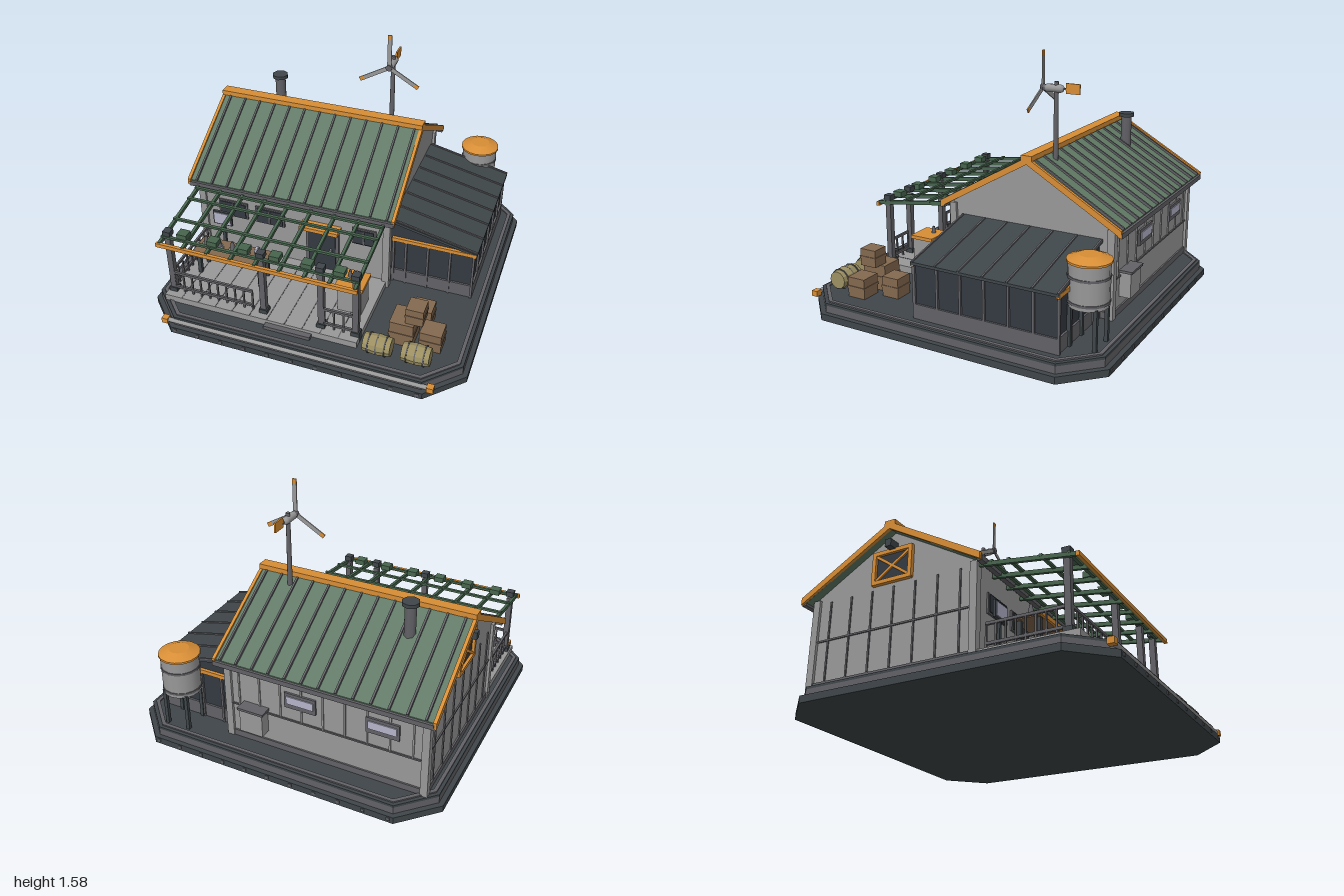
import * as THREE from 'three';

const mat = (name, color, side = THREE.FrontSide) => {
  const m = new THREE.MeshStandardMaterial({ color, side });
  m.name = name;
  return m;
};

export function createModel() {
  const charcoal = mat('charcoal', 0x3f4649), night = mat('darkPanel', 0x343a42);
  const wall = mat('wallGrey', 0x989898), steel = mat('steelGrey', 0x626267);
  const green = mat('roofGreen', 0x617a66), moss = mat('pergolaGreen', 0x47654e);
  const orange = mat('orange', 0xd88e36), brown = mat('crateBrown', 0x84694f);
  const tan = mat('barrelTan', 0x9c9062), glass = mat('paleGlass', 0xb4b4ca);
  const root = new THREE.Group();

  const add = (name, geo, m, x = 0, y = 0, z = 0) => {
    const mesh = new THREE.Mesh(geo, m);
    mesh.name = name;
    mesh.position.set(x, y, z);
    root.add(mesh);
    return mesh;
  };
  // Box given by its extents
  const box = (name, m, x0, x1, y0, y1, z0, z1) =>
    add(name, new THREE.BoxGeometry(x1 - x0, y1 - y0, z1 - z0), m, (x0 + x1) / 2, (y0 + y1) / 2, (z0 + z1) / 2);
  const cyl = (name, m, x, y0, y1, z, r0, r1 = r0, n = 12) =>
    add(name, new THREE.CylinderGeometry(r1, r0, y1 - y0, n), m, x, (y0 + y1) / 2, z);
  // Rectangular bar between two points
  const bar = (name, m, a, b, w, h) => {
    const p = new THREE.Vector3(...a), q = new THREE.Vector3(...b);
    const mesh = add(name, new THREE.BoxGeometry(w, h, p.distanceTo(q)), m);
    mesh.position.copy(p).add(q).multiplyScalar(0.5);
    mesh.lookAt(q);
    return mesh;
  };
  const shapeOf = pts => new THREE.Shape(pts.map(p => new THREE.Vector2(...p)));
  const extrude = (shape, depth) => new THREE.ExtrudeGeometry(shape, { depth, bevelEnabled: false });
  // Outline in (z, y), swept along x
  const prismX = (name, m, pts, x0, x1) => add(name, extrude(shapeOf(pts), x1 - x0).rotateY(-Math.PI / 2), m, x1);
  // Outline in (x, y), swept along z
  const prismZ = (name, m, pts, z0, z1) => add(name, extrude(shapeOf(pts), z1 - z0), m, 0, 0, z0);

  // Chamfered platform in tiers with a raised rim
  const octPts = s => {
    const a = 1 - s, b = 0.985 - s, c = 0.21 - s * 0.55;
    return [[a, b - c], [a - c, b], [c - a, b], [-a, b - c], [-a, c - b], [c - a, -b], [a - c, -b], [a, c - b]];
  };
  const slab = (name, m, s, y0, y1, hole) => {
    const sh = shapeOf(octPts(s));
    if (hole) sh.holes.push(new THREE.Path(octPts(hole).map(p => new THREE.Vector2(...p))));
    add(name, extrude(sh, y1 - y0).rotateX(-Math.PI / 2), m, 0, y0);
  };
  slab('platformBase', charcoal, 0, 0, 0.042);
  slab('platformTier', steel, 0.03, 0.042, 0.085);
  slab('platformTop', charcoal, 0.03, 0.085, 0.1);
  slab('platformRim', steel, 0.05, 0.1, 0.108, 0.072);
  for (let i = 0; i < 11; i++) {
    const x = -0.76 + i * 0.152;
    for (const s of [-1, 1]) box('baseBolt', steel, x - 0.01, x + 0.01, 0.016, 0.034, s * 0.986 - 0.004, s * 0.986 + 0.004);
  }
  add('frontPipe', new THREE.CylinderGeometry(0.014, 0.014, 1.64, 12).rotateZ(Math.PI / 2), wall, 0, 0.073, 0.957);
  for (const x of [-0.83, 0.83]) box('pipeEnd', orange, x - 0.02, x + 0.02, 0.055, 0.09, 0.938, 0.978);

  // House body with gables
  prismX('houseWalls', wall, [[0.25, 0.1], [0.25, 0.65], [-0.28, 0.955], [-0.8, 0.65], [-0.8, 0.1]], -0.9, 0.35);
  box('wallPlinth', steel, -0.91, 0.36, 0.1, 0.14, -0.81, 0.26);
  for (const x of [-0.895, 0.345]) for (const z of [-0.795, 0.245])
    box('cornerPost', wall, x - 0.022, x + 0.022, 0.1, 0.64, z - 0.022, z + 0.022);
  box('backRail', steel, -0.88, 0.33, 0.325, 0.335, -0.808, -0.8);
  for (let i = 0; i < 9; i++) {
    const x = -0.82 + i * 0.137;
    box('backBatten', wall, x - 0.005, x + 0.005, 0.335, 0.63, -0.807, -0.8);
  }
  box('sideRail', steel, -0.908, -0.9, 0.38, 0.39, -0.78, 0.23);
  for (let i = 0; i < 7; i++) {
    const z = -0.7 + i * 0.143;
    box('sideBatten', steel, -0.907, -0.9, 0.14, 0.62, z - 0.005, z + 0.005);
  }

  // Roof with standing seams, orange trim and gutters
  const gable = (e, top, t) => [[e, 0.648 + top], [-0.28, 0.988 + top], [-0.56 - e, 0.648 + top],
    [-0.56 - e, 0.648 + top - t], [-0.28, 0.988 + top - t], [e, 0.648 + top - t]].reverse();
  prismX('roof', green, gable(0.3, 0, 0.03), -0.95, 0.39);
  for (const x of [-0.965, 0.385]) prismX('roofTrim', orange, gable(0.31, 0.008, 0.042), x, x + 0.02);
  for (let i = 0; i < 13; i++) {
    const x = -0.905 + i * 0.105;
    for (const e of [0.305, -0.865]) bar('roofSeam', steel, [x, 0.654, e], [x, 0.99, -0.28], 0.012, 0.016);
  }
  box('ridgeCap', orange, -0.965, 0.405, 0.975, 1.006, -0.315, -0.245);
  for (const z of [0.3, -0.86]) box('gutter', steel, -0.95, 0.4, 0.612, 0.642, z - 0.015, z + 0.015);

  // Gable window with orange cross frame
  box('gableGlass', night, -0.908, -0.9, 0.66, 0.83, -0.4, -0.16);
  for (const z of [-0.4, -0.16]) box('gableFrame', orange, -0.925, -0.9, 0.65, 0.84, z - 0.012, z + 0.012);
  for (const y of [0.655, 0.835]) box('gableFrame', orange, -0.925, -0.9, y - 0.012, y + 0.012, -0.41, -0.15);
  bar('gableCross', orange, [-0.913, 0.66, -0.4], [-0.913, 0.83, -0.16], 0.012, 0.016);
  bar('gableCross', orange, [-0.913, 0.83, -0.4], [-0.913, 0.66, -0.16], 0.012, 0.016);
  box('gableLamp', charcoal, -0.97, -0.9, 0.84, 0.885, -0.3, -0.26);

  // Back windows and utility box
  for (const x of [-0.64, -0.13]) {
    box('backWindowFrame', steel, x - 0.1, x + 0.1, 0.42, 0.52, -0.812, -0.8);
    box('backWindowGlass', glass, x - 0.085, x + 0.085, 0.45, 0.5, -0.818, -0.812);
  }
  box('utilityBox', wall, 0.09, 0.24, 0.2, 0.36, -0.87, -0.8);
  box('utilityLid', steel, 0.08, 0.25, 0.35, 0.365, -0.88, -0.8);

  // Front door, windows and wall screen
  box('doorFrame', steel, -0.185, 0.035, 0.14, 0.47, 0.25, 0.262);
  box('door', night, -0.165, 0.015, 0.14, 0.45, 0.262, 0.27);
  box('doorLight', glass, -0.14, -0.01, 0.42, 0.435, 0.27, 0.275);
  box('doorHandle', wall, -0.02, -0.008, 0.27, 0.31, 0.27, 0.285);
  box('doorCanopy', orange, -0.205, 0.05, 0.46, 0.485, 0.25, 0.33);
  for (const x of [-0.685, -0.43, 0.2]) {
    const w = x > 0 ? 0.065 : 0.088;
    box('windowFrame', steel, x - w - 0.012, x + w + 0.012, 0.39, 0.51, 0.25, 0.26);
    box('windowGlass', night, x - w, x + w, 0.4, 0.5, 0.26, 0.267);
    box('windowMullion', steel, x - 0.005, x + 0.005, 0.4, 0.5, 0.267, 0.273);
  }
  box('screenCase', charcoal, -0.805, -0.675, 0.35, 0.45, 0.3, 0.315);
  box('screenFace', glass, -0.795, -0.685, 0.36, 0.44, 0.315, 0.32);
  box('screenStand', charcoal, -0.75, -0.73, 0.14, 0.36, 0.29, 0.31);

  // Veranda deck and step
  box('deck', wall, -0.9, 0.35, 0.1, 0.142, 0.25, 0.83);
  for (let i = 1; i < 11; i++) {
    const x = -0.9 + i * 0.1136;
    box('deckGap', steel, x - 0.003, x + 0.003, 0.142, 0.144, 0.26, 0.825);
  }
  box('step', steel, -0.225, 0.07, 0.1, 0.122, 0.82, 0.865);

  // Pergola: posts, rafters, battens, front beam and lamps
  const slopeY = z => 0.62 - (z - 0.27) * 0.14;
  for (const x of [-0.865, -0.26, 0.11, 0.325]) {
    box('pergolaPost', steel, x - 0.018, x + 0.018, 0.1, 0.55, 0.742, 0.778);
    box('postFoot', charcoal, x - 0.026, x + 0.026, 0.1, 0.17, 0.734, 0.786);
    box('postCap', charcoal, x - 0.024, x + 0.024, 0.565, 0.6, 0.736, 0.784);
  }
  for (let i = 0; i < 9; i++) {
    const x = -0.89 + i * 0.1535;
    bar('rafter', moss, [x, slopeY(0.26), 0.26], [x, slopeY(0.83), 0.83], 0.018, 0.024);
  }
  for (const z of [0.34, 0.44, 0.625, 0.78])
    box('pergolaBatten', moss, -0.9, 0.35, slopeY(z) + 0.005, slopeY(z) + 0.02, z - 0.009, z + 0.009);
  box('frontBeam', orange, -0.91, 0.355, 0.522, 0.548, 0.822, 0.842);
  for (let i = 0; i < 6; i++) {
    const x = -0.765 + i * 0.198;
    box('pergolaLamp', moss, x - 0.032, x + 0.032, 0.565, 0.6, 0.72, 0.78);
  }

  // Railings
  const railing = (a, b) => {
    for (const y of [0.175, 0.285]) bar('rail', steel, [a[0], y, a[1]], [b[0], y, b[1]], 0.014, 0.016);
    const n = Math.round(Math.hypot(b[0] - a[0], b[1] - a[1]) / 0.055);
    for (let i = 0; i <= n; i++) {
      const x = a[0] + (b[0] - a[0]) * i / n, z = a[1] + (b[1] - a[1]) * i / n;
      box('baluster', steel, x - 0.005, x + 0.005, 0.142, 0.29, z - 0.005, z + 0.005);
    }
  };
  railing([-0.85, 0.77], [-0.33, 0.77]);
  railing([0.13, 0.77], [0.31, 0.77]);
  railing([-0.87, 0.3], [-0.87, 0.75]);

  // Bar counter with taps
  box('counterTop', brown, -0.82, -0.345, 0.295, 0.32, 0.425, 0.58);
  box('counterEdge', orange, -0.83, -0.335, 0.29, 0.315, 0.58, 0.595);
  for (const x of [-0.79, -0.375]) for (const z of [0.45, 0.56])
    box('counterLeg', charcoal, x - 0.012, x + 0.012, 0.142, 0.295, z - 0.012, z + 0.012);
  for (let i = 0; i < 5; i++) {
    const x = -0.765 + i * 0.091;
    cyl('tapBase', wall, x, 0.32, 0.335, 0.5, 0.027, 0.027);
    cyl('tapBody', steel, x, 0.335, 0.39, 0.5, 0.018, 0.008);
  }
  box('counterLight', glass, -0.44, -0.385, 0.32, 0.36, 0.455, 0.49);

  // Service cabinet
  box('cabinet', wall, 0.15, 0.3, 0.142, 0.325, 0.46, 0.6);
  box('cabinetTop', orange, 0.138, 0.312, 0.325, 0.347, 0.45, 0.61);
  cyl('cabinetBottle', steel, 0.2, 0.347, 0.39, 0.51, 0.014, 0.008);

  // Lean-to with glazed panels
  prismZ('leanToBody', night, [[0.35, 0.1], [0.87, 0.1], [0.87, 0.435], [0.35, 0.555]], -0.72, 0.17);
  box('leanToPlinth', steel, 0.35, 0.882, 0.1, 0.19, -0.732, 0.182);
  prismZ('leanToRoof', charcoal, [[0.35, 0.555], [0.895, 0.43], [0.895, 0.447], [0.35, 0.572]], -0.74, 0.19);
  for (let i = 0; i < 7; i++) {
    const z = -0.735 + i * 0.152;
    bar('leanToRib', steel, [0.36, 0.572, z], [0.895, 0.449, z], 0.01, 0.012);
    box('leanToStud', steel, 0.868, 0.882, 0.1, 0.44, z - 0.007, z + 0.007);
  }
  for (const z of [-0.732, 0.182]) {
    box('leanToBand', orange, 0.36, 0.89, 0.42, 0.445, z - 0.01, z + 0.01);
    for (const x of [0.37, 0.45, 0.59, 0.73, 0.875])
      box('endStud', steel, x - 0.007, x + 0.007, 0.1, 0.43, z - 0.007, z + 0.007);
  }

  // Water tank on legs
  const tx = 0.68, tz = -0.81;
  cyl('tank', wall, tx, 0.33, 0.58, tz, 0.115, 0.115, 16);
  for (const y of [0.35, 0.49]) cyl('tankBand', steel, tx, y, y + 0.014, tz, 0.119, 0.119, 16);
  cyl('tankRim', orange, tx, 0.575, 0.587, tz, 0.125, 0.125, 16);
  cyl('tankLid', orange, tx, 0.587, 0.613, tz, 0.122, 0.06, 16);
  for (const x of [-0.075, 0.075]) for (const z of [-0.075, 0.075])
    box('tankLeg', charcoal, tx + x - 0.011, tx + x + 0.011, 0.1, 0.34, tz + z - 0.011, tz + z + 0.011);

  // Wind turbine
  const wx = 0.175, wy = 1.36;
  cyl('mast', steel, wx, 0.9, 1.4, -0.35, 0.016, 0.013, 10);
  add('nacelle', new THREE.CapsuleGeometry(0.024, 0.08, 4, 10).rotateX(Math.PI / 2), wall, wx, wy, -0.335);
  add('hub', new THREE.CylinderGeometry(0.02, 0.02, 0.03, 10).rotateX(Math.PI / 2), steel, wx, wy, -0.268);
  box('tailBoom', steel, wx - 0.005, wx + 0.005, wy - 0.005, wy + 0.005, -0.43, -0.38);
  box('tailFin', orange, wx - 0.005, wx + 0.005, 1.335, 1.395, -0.5, -0.412);
  const blade = (name, m, r0, r1) => {
    for (let i = 0; i < 3; i++) {
      const g = new THREE.BoxGeometry(0.026, r1 - r0, 0.007).translate(0, (r0 + r1) / 2, 0);
      add(name, g, m, wx, wy, -0.265).rotation.z = i * Math.PI * 2 / 3;
    }
  };
  blade('blade', wall, 0, 0.185);
  blade('bladeTip', orange, 0.185, 0.215);

  // Chimney
  cyl('chimney', steel, -0.635, 0.8, 1.065, -0.455, 0.036, 0.036, 8);
  cyl('chimneyCap', charcoal, -0.635, 1.06, 1.083, -0.455, 0.052, 0.052, 8);

  // Crates and lying barrels
  for (const [x0, x1, y0, y1, z0, z1] of [[0.51, 0.655, 0.1, 0.262, 0.56, 0.72], [0.69, 0.82, 0.1, 0.225, 0.59, 0.71],
    [0.595, 0.715, 0.1, 0.225, 0.42, 0.535], [0.6, 0.705, 0.262, 0.37, 0.59, 0.7]]) {
    box('crate', brown, x0, x1, y0, y1, z0, z1);
    const y = (y0 + y1) / 2;
    box('crateStrap', brown, x0 - 0.004, x1 + 0.004, y - 0.008, y + 0.008, z0 - 0.004, z1 + 0.004);
  }
  for (const x of [0.478, 0.708]) {
    const pts = [[0, -0.082], [0.055, -0.082], [0.065, 0], [0.055, 0.082], [0, 0.082]].map(p => new THREE.Vector2(...p));
    add('barrel', new THREE.LatheGeometry(pts, 12).rotateZ(Math.PI / 2), tan, x, 0.167, 0.82).material.flatShading = true;
    for (const d of [-0.05, 0, 0.05])
      add('barrelHoop', new THREE.CylinderGeometry(0.065, 0.065, 0.007, 12).rotateZ(Math.PI / 2), steel, x + d, 0.167, 0.82);
  }
  return root;
}
